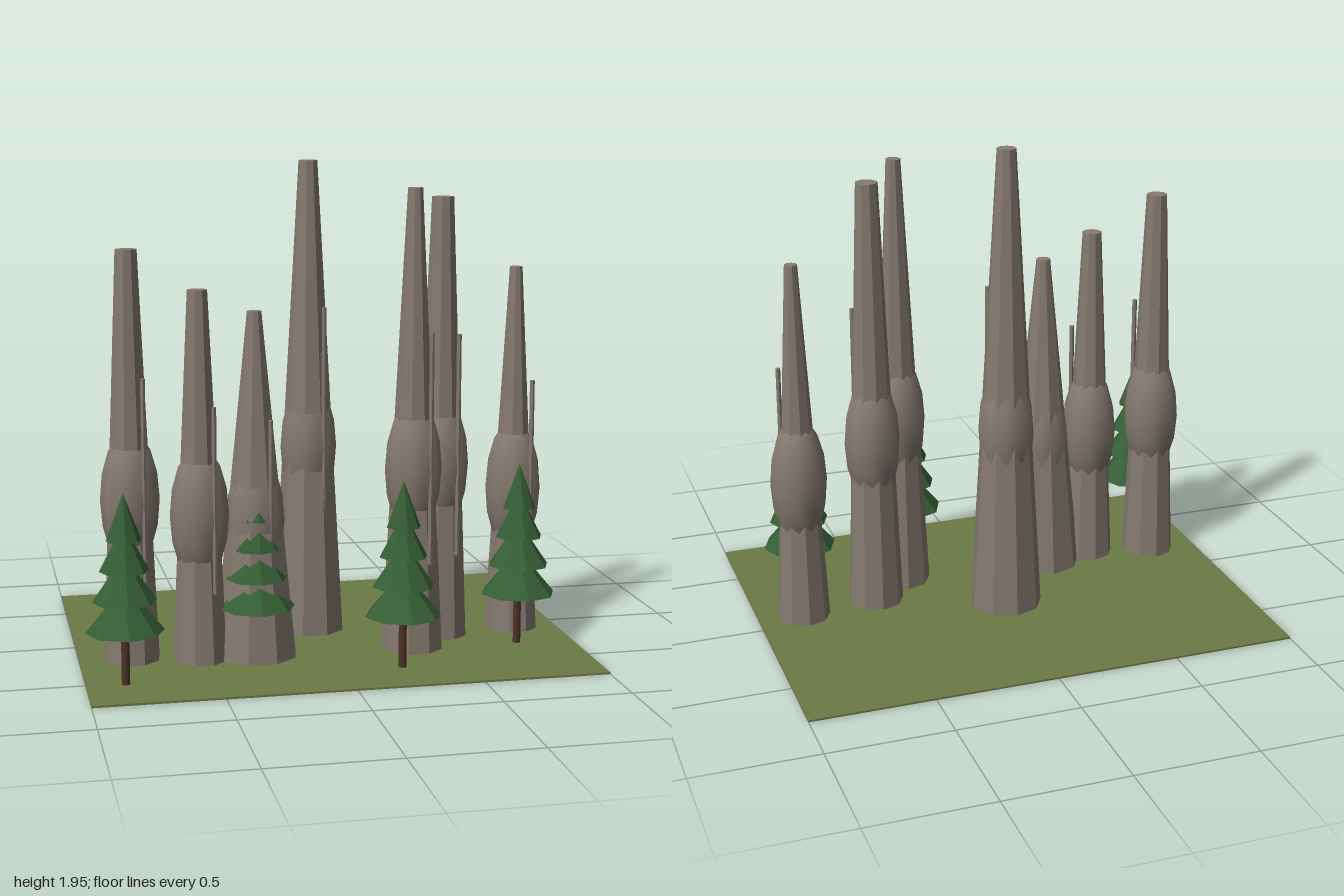
import * as THREE from 'three';

const rock = new THREE.MeshStandardMaterial({ name: 'grey brown rock', color: 0x857a70 });
const grass = new THREE.MeshStandardMaterial({ name: 'olive grass', color: 0x6b7a45 });
const needles = new THREE.MeshStandardMaterial({ name: 'pine green', color: 0x355e35 });
const bark = new THREE.MeshStandardMaterial({ name: 'dark bark', color: 0x4d3226 });

// Faceted version of a geometry
function faceted(geometry) {
  const g = geometry.toNonIndexed();
  g.computeVertexNormals();
  return g;
}

function add(parent, name, geometry, material, x, y, z) {
  const mesh = new THREE.Mesh(geometry, material);
  mesh.name = name;
  mesh.position.set(x, y, z);
  parent.add(mesh);
  return mesh;
}

// Tapered rock column with a swollen waist and a thin upright rib at the front
function makeSpire([x, z, height, topRadius, baseRadius]) {
  const spire = new THREE.Group();
  spire.name = 'rockSpire';
  const column = add(spire, 'column',
    faceted(new THREE.CylinderGeometry(topRadius, baseRadius, height, 9)), rock, 0, height / 2, 0);
  column.rotation.y = Math.PI;
  const bulge = add(spire, 'bulge', new THREE.SphereGeometry(0.117, 10, 8), rock, 0, height * 0.4, 0);
  bulge.scale.y = 2.35;
  add(spire, 'rib', faceted(new THREE.CylinderGeometry(0.01, 0.01, height * 0.5, 6)),
    rock, 0.045, height * 0.45, 0.1);
  spire.position.set(x, 0, z);
  return spire;
}

// Pine with four stacked cones
function makePine([x, z]) {
  const pine = new THREE.Group();
  pine.name = 'pineTree';
  add(pine, 'trunk', new THREE.CylinderGeometry(0.016, 0.016, 0.28, 8), bark, 0, 0.14, 0);
  for (let i = 0; i < 4; i++) {
    const radius = 0.151 - i * 0.028;
    add(pine, 'foliageTier', faceted(new THREE.ConeGeometry(radius, 0.18, 8)),
      needles, 0, 0.217 + i * 0.117 + 0.09, 0);
  }
  pine.position.set(x, 0, z);
  return pine;
}

export function createModel() {
  const model = new THREE.Group();
  model.name = 'rockSpireGrove';

  add(model, 'ground', new THREE.BoxGeometry(2, 0.008, 1.534), grass, 0, 0.004, 0);

  // x, z, height, top radius, base radius
  const spires = [
    [-0.79, 0.21, 1.63, 0.043, 0.112],
    [-0.525, 0.27, 1.475, 0.04, 0.11],
    [-0.3, 0.25, 1.385, 0.029, 0.168],
    [-0.02, -0.08, 1.95, 0.039, 0.15],
    [0.335, 0.275, 1.855, 0.03, 0.125],
    [0.49, 0.117, 1.81, 0.045, 0.115],
    [0.813, 0.073, 1.52, 0.026, 0.11],
  ];
  for (const s of spires) model.add(makeSpire(s));

  const pines = [[-0.85, 0.535], [-0.305, 0.305], [0.23, 0.535], [0.767, 0.307]];
  for (const p of pines) model.add(makePine(p));

  return model;
}
